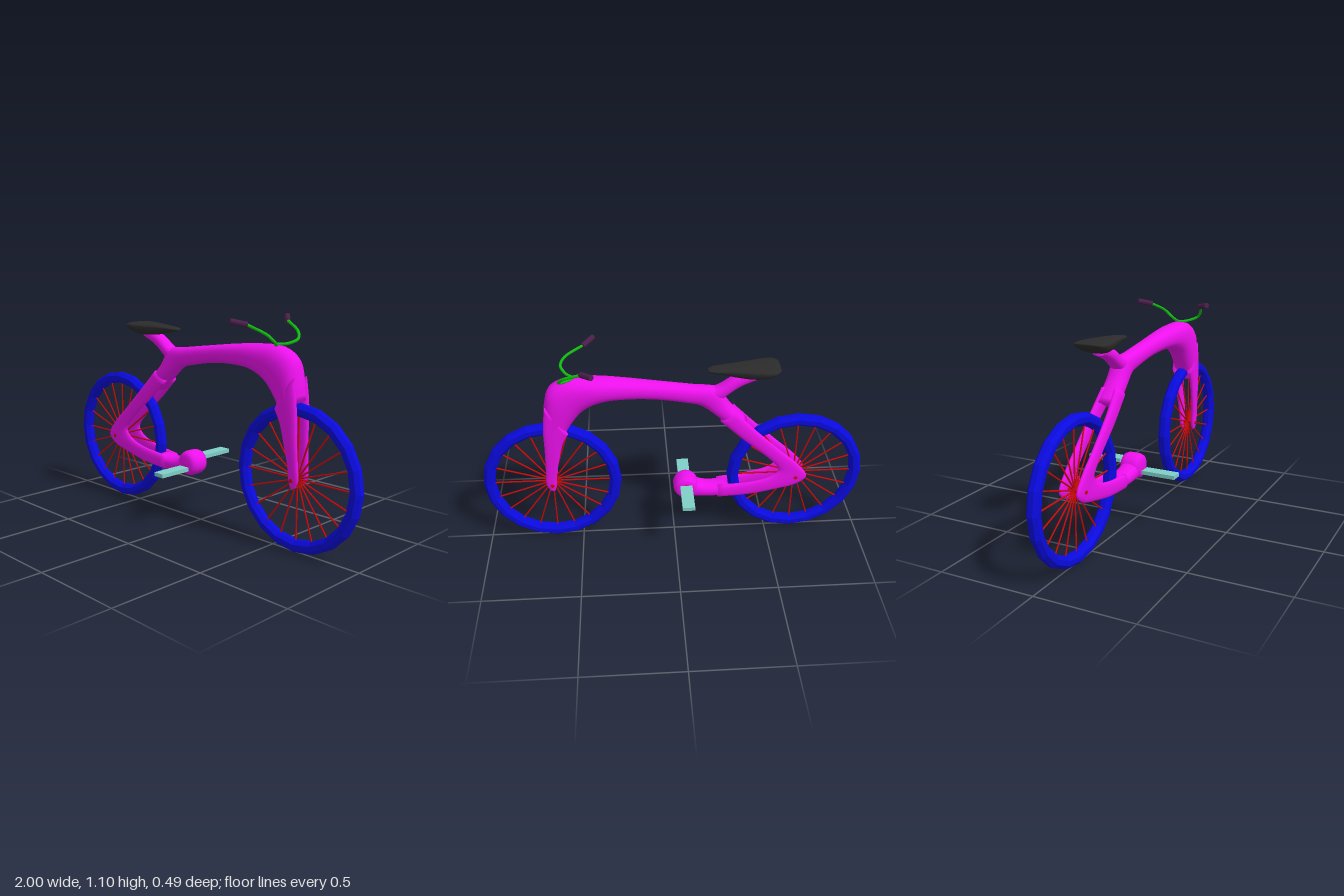
import * as THREE from 'three';

const paint = (color, extra = {}) => new THREE.MeshStandardMaterial({ color, ...extra });
const MAGENTA = paint(0xee11ee), BLUE = paint(0x0a0adf, { flatShading: true }), RED = paint(0xcc0808);
const GREEN = paint(0x10c010), PURPLE = paint(0x4a1f4a), BLACK = paint(0x2b2b2b), TEAL = paint(0x80cfc8);

function add(parent, name, geometry, material) {
  const mesh = new THREE.Mesh(geometry, material);
  mesh.name = name;
  parent.add(mesh);
  return mesh;
}

// Skin through sections [ax, ay, bx, by, halfWidth, z]: an oval between edge points A and B.
// "peak" is where along B to A the oval is widest.
function loft(sections, { z = 1, peak = 0.5, power = 0.85, sides = 20, steps = 5 } = {}) {
  const curveA = new THREE.CatmullRomCurve3(sections.map(s => new THREE.Vector3(s[0], s[1], s[4])));
  const curveB = new THREE.CatmullRomCurve3(sections.map(s => new THREE.Vector3(s[2], s[3], (s[5] || 0) * z)));
  const n = (sections.length - 1) * steps;
  const position = [], index = [];
  const round = v => Math.sign(v) * Math.abs(v) ** power;
  const ring = (t, scale) => {
    const a = curveA.getPoint(t), b = curveB.getPoint(t);
    for (let j = 0; j < sides; j++) {
      const angle = j / sides * Math.PI * 2;
      const s = round(Math.sin(angle)) * scale, c = round(Math.cos(angle)) * scale;
      const v = peak + s * (s > 0 ? 1 - peak : peak);
      position.push(b.x + (a.x - b.x) * v, b.y + (a.y - b.y) * v, b.z + a.z * c);
    }
  };
  ring(0, 0);
  for (let i = 0; i <= n; i++) ring(i / n, 1);
  ring(1, 0);
  for (let i = 0; i < n + 2; i++) {
    for (let j = 0; j < sides; j++) {
      const a = i * sides + j, c = i * sides + (j + 1) % sides;
      index.push(a, a + sides, c, c, a + sides, c + sides);
    }
  }
  const g = new THREE.BufferGeometry();
  g.setAttribute('position', new THREE.Float32BufferAttribute(position, 3));
  g.setIndex(index);
  g.computeVertexNormals();
  return g;
}

function makeWheel(name, x, axleLength) {
  const wheel = new THREE.Group();
  wheel.name = name;
  wheel.position.set(x, 0.36, 0);
  // Eight-sided tyre section spun round the axle
  const profile = [];
  for (let i = 0; i <= 8; i++) {
    const a = (i + 0.5) / 8 * Math.PI * 2;
    profile.push(new THREE.Vector2(0.3305 + 0.0322 * Math.cos(a), 0.0322 * Math.sin(a)));
  }
  add(wheel, 'tyre', new THREE.LatheGeometry(profile, 20).rotateX(Math.PI / 2), BLUE);
  for (let i = 0; i < 20; i++) {
    const spoke = new THREE.CylinderGeometry(0.0042, 0.0042, 0.305, 6).translate(0, 0.1525, 0);
    add(wheel, 'spoke', spoke.rotateZ(i / 20 * Math.PI * 2), RED);
  }
  add(wheel, 'axle', new THREE.CylinderGeometry(0.01, 0.01, axleLength, 10).rotateX(Math.PI / 2), RED);
  return wheel;
}

export function createModel() {
  const bike = new THREE.Group();
  bike.name = 'bicycle';
  bike.add(makeWheel('rearWheel', -0.64, 0.124), makeWheel('frontWheel', 0.64, 0.104));

  // Frame: one flowing body with split fork and stays
  const frame = new THREE.Group();
  frame.name = 'frame';
  bike.add(frame);
  add(frame, 'topTube', loft([
    [-0.37, 0.71, -0.29, 0.665, 0.056], [-0.28, 0.805, -0.19, 0.76, 0.052],
    [-0.22, 0.892, -0.125, 0.805, 0.047], [-0.1, 0.912, -0.06, 0.822, 0.045],
    [0.1, 0.94, 0.1, 0.85, 0.048], [0.25, 0.96, 0.25, 0.857, 0.058],
    [0.4, 0.974, 0.36, 0.845, 0.068], [0.53, 0.971, 0.45, 0.8, 0.07],
    [0.615, 0.925, 0.51, 0.73, 0.07], [0.645, 0.83, 0.545, 0.67, 0.067],
    [0.656, 0.74, 0.56, 0.635, 0.064],
  ]), MAGENTA);
  add(frame, 'seatPost', loft([
    [-0.365, 0.985, -0.425, 0.945, 0.034], [-0.29, 0.955, -0.33, 0.905, 0.036],
    [-0.21, 0.903, -0.26, 0.855, 0.04], [-0.13, 0.89, -0.19, 0.79, 0.042],
  ]), MAGENTA);
  add(frame, 'chainStayBridge', loft([
    [-0.08, 0.237, -0.09, 0.345, 0.052], [-0.15, 0.236, -0.15, 0.318, 0.052],
    [-0.21, 0.237, -0.21, 0.312, 0.053], [-0.28, 0.242, -0.28, 0.319, 0.053],
  ]), MAGENTA);
  for (const z of [1, -1]) {
    add(frame, 'forkBlade', loft([
      [0.64, 0.84, 0.535, 0.68, 0.02, 0.046], [0.657, 0.72, 0.566, 0.62, 0.018, 0.046],
      [0.661, 0.58, 0.592, 0.52, 0.015, 0.044], [0.668, 0.44, 0.612, 0.42, 0.013, 0.039],
      [0.671, 0.36, 0.617, 0.36, 0.012, 0.036], [0.653, 0.322, 0.627, 0.322, 0.009, 0.035],
    ], { z }), MAGENTA);
    add(frame, 'rearStay', loft([
      [-0.23, 0.238, -0.23, 0.314, 0.018, 0.036], [-0.4, 0.255, -0.38, 0.33, 0.014, 0.045],
      [-0.55, 0.285, -0.49, 0.357, 0.014, 0.046], [-0.655, 0.315, -0.535, 0.387, 0.014, 0.046],
      [-0.7, 0.36, -0.546, 0.406, 0.014, 0.046], [-0.65, 0.437, -0.541, 0.428, 0.014, 0.046],
      [-0.55, 0.53, -0.48, 0.495, 0.015, 0.046], [-0.4, 0.675, -0.345, 0.613, 0.017, 0.043],
      [-0.31, 0.77, -0.23, 0.72, 0.02, 0.034],
    ], { z }), MAGENTA);
  }

  // Rounded crank housing
  const housing = [[0.001, -0.056], [0.04, -0.056], [0.058, -0.046], [0.066, -0.025],
    [0.066, 0.025], [0.058, 0.046], [0.04, 0.056], [0.001, 0.056]];
  add(frame, 'crankHousing', new THREE.LatheGeometry(housing.map(p => new THREE.Vector2(...p)), 28)
    .rotateX(Math.PI / 2), MAGENTA).position.set(-0.061, 0.304, 0);

  // Pedals, one lower and one higher
  for (const [z, y] of [[1, 0.281], [-1, 0.327]]) {
    add(bike, 'pedalAxle', new THREE.CylinderGeometry(0.009, 0.009, 0.03, 10).rotateX(Math.PI / 2), RED)
      .position.set(-0.06, y, z * 0.055);
    add(bike, 'pedal', new THREE.BoxGeometry(0.064, 0.02, 0.182), TEAL).position.set(-0.06, y, z * 0.154);
  }

  // Saddle, wide behind and narrow at the nose
  add(bike, 'saddle', loft([
    [-0.518, 1.012, -0.515, 0.998, 0.055], [-0.495, 1.018, -0.49, 0.978, 0.08],
    [-0.455, 1.021, -0.45, 0.96, 0.085], [-0.4, 1.021, -0.4, 0.952, 0.074],
    [-0.33, 1.018, -0.33, 0.957, 0.058], [-0.25, 1.011, -0.25, 0.974, 0.043],
    [-0.19, 1.005, -0.19, 0.985, 0.033], [-0.166, 1.0, -0.166, 0.99, 0.018],
  ], { peak: 0.7 }), BLACK);

  // Handlebar with angled grips
  const half = [[0.53, 0.98, 0.04], [0.555, 1.0, 0.085], [0.535, 1.03, 0.11], [0.44, 1.075, 0.148]];
  const barPoints = [...half.map(([x, y, z]) => [x, y, -z]).reverse(), [0.495, 0.977, 0], ...half];
  const bar = new THREE.CatmullRomCurve3(barPoints.map(p => new THREE.Vector3(...p)));
  add(bike, 'handlebar', new THREE.TubeGeometry(bar, 64, 0.0075, 8), GREEN);
  for (const z of [1, -1]) {
    const from = new THREE.Vector3(0.443, 1.073, z * 0.143), to = new THREE.Vector3(0.392, 1.09, z * 0.204);
    const grip = add(bike, 'grip', new THREE.CylinderGeometry(0.014, 0.014, from.distanceTo(to), 10), PURPLE);
    grip.position.copy(from).lerp(to, 0.5);
    grip.quaternion.setFromUnitVectors(new THREE.Vector3(0, 1, 0), to.clone().sub(from).normalize());
  }
  return bike;
}
